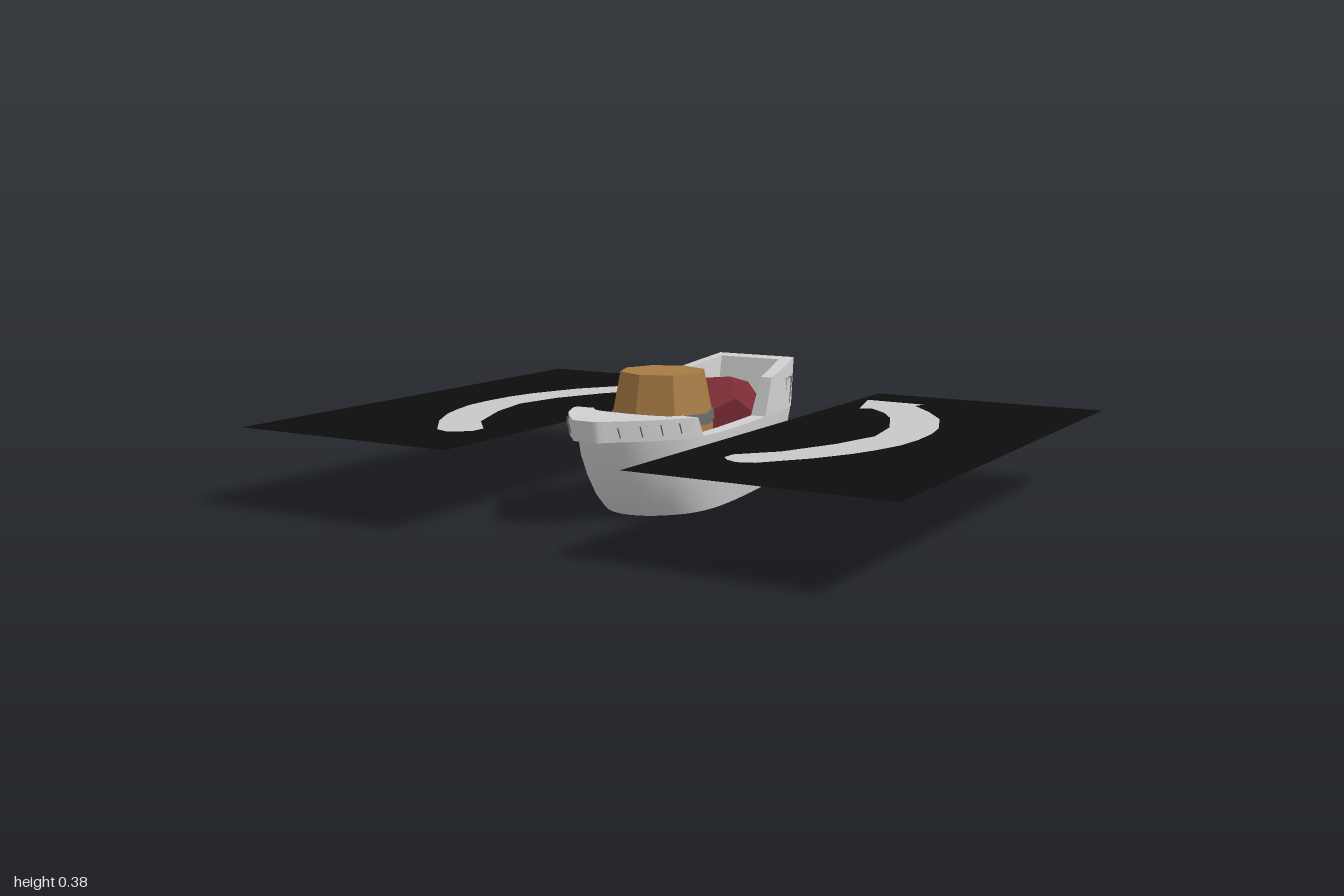
import * as THREE from 'three';
import { toCreasedNormals } from 'three/addons/utils/BufferGeometryUtils.js';

const V = (x, y, z) => new THREE.Vector3(x, y, z);
const { lerp } = THREE.MathUtils;

// Closed skin through equal-length rings of points, with fan caps at both ends
function loft(rings, crease = 0.6) {
  const n = rings[0].length;
  const pos = rings.flat().flatMap((p) => [p.x, p.y, p.z]);
  const idx = [];
  for (let j = 0; j < rings.length - 1; j++) {
    for (let i = 0; i < n; i++) {
      const a = j * n + i, b = j * n + (i + 1) % n;
      idx.push(a, a + n, b, b, a + n, b + n);
    }
  }
  [0, rings.length - 1].forEach((r, end) => {
    const o = pos.length / 3;
    const c = rings[r].reduce((s, p) => s.add(p), V(0, 0, 0)).divideScalar(n);
    pos.push(c.x, c.y, c.z);
    for (let i = 0; i < n; i++) {
      const a = r * n + i, b = r * n + (i + 1) % n;
      idx.push(o, end ? b : a, end ? a : b);
    }
  });
  const g = new THREE.BufferGeometry();
  g.setAttribute('position', new THREE.Float32BufferAttribute(pos, 3));
  g.setIndex(idx);
  return toCreasedNormals(g, crease);
}

// Smooth half outline of (z, half width), mirrored into a loop from stern to bow and back
function outline(pairs, steps = 20) {
  const half = new THREE.SplineCurve(pairs.map((p) => new THREE.Vector2(...p))).getPoints(steps);
  return [...half, ...half.slice(0, -1).reverse().map((p) => new THREE.Vector2(p.x, -p.y))];
}

function flat(geometry) {
  const g = geometry.index ? geometry.toNonIndexed() : geometry;
  g.computeVertexNormals();
  return g;
}

const lathe8 = (pts) => flat(new THREE.LatheGeometry(pts.map((p) => new THREE.Vector2(...p)), 8));

export function createModel() {
  const group = new THREE.Group();
  const mat = (name, color, extra = {}) => {
    const m = new THREE.MeshStandardMaterial({ color, ...extra });
    m.name = name;
    return m;
  };
  const grey = mat('light grey', 0xcfcfcf);
  const wood = mat('wood tan', 0xa67c42);
  const iron = mat('iron grey', 0x686868);
  const red = mat('dark red', 0x7c2b35);
  const black = mat('black', 0x0d0d0d, { side: THREE.DoubleSide });
  const arrowGrey = mat('arrow grey', 0xc8c8c8, { side: THREE.DoubleSide });
  const add = (name, geometry, material) => {
    const m = new THREE.Mesh(geometry, material);
    m.name = name;
    group.add(m);
    return m;
  };

  // Hull: flared outer rings, then the rim, then the hollow down to the floor
  const DECK = 0.225;
  const plan = outline([[0, 0.142], [0.2, 0.171], [0.45, 0.193], [0.68, 0.2], [0.84, 0.172], [0.94, 0.11], [0.985, 0.055], [1, 0]]);
  const stemCurve = [[0, 0.32], [0.04, 0.36], [0.1, 0.395], [0.16, 0.42], [DECK, 0.435]];
  const sternZ = (y) => -0.325 - 0.3 * y;
  const flare = (y) => 0.82 + 0.18 * Math.sin(Math.min(1, y / DECK) * Math.PI / 2);
  const levelRing = ([y, bow]) => plan.map((p) => V(p.y * flare(y), y, lerp(sternZ(y), bow, p.x)));
  const hold = outline([[-0.345, 0.085], [-0.32, 0.11], [-0.1, 0.138], [0.15, 0.157], [0.26, 0.142], [0.305, 0.1], [0.315, 0]]);
  const holdRing = (y, k) => hold.map((p) => V(p.y * k, y, p.x * k));
  add('hull', loft([...stemCurve.map(levelRing), holdRing(DECK, 1), holdRing(0.05, 0.87)]), grey);

  // Raised bow deck overhanging the stem
  const bowOuter = outline([[0.24, 0.198], [0.3, 0.187], [0.4, 0.135], [0.49, 0.062], [0.52, 0.035], [0.522, 0]]);
  const bowInner = outline([[0.24, 0.15], [0.27, 0.14], [0.3, 0.1], [0.31, 0]]);
  add('bowDeck', loft(bowOuter.map((o, i) => {
    const q = bowInner[i];
    const f = (o.x - 0.24) / 0.28;
    const lean = lerp(0.028, 0.004, Math.min(1, f * 4));
    return [V(q.y, DECK + 0.001, q.x), V(q.y, 0.281, q.x + lean * (1 - f)),
      V(o.y, 0.281 + 0.009 * f, o.x + lean), V(o.y, DECK + 0.008 * f, o.x)];
  })), grey);

  // Raised stern walls, running round the raked transom
  const sternHalf = [
    [V(0.18, DECK, -0.155), V(0.176, 0.335, -0.2), V(0.14, 0.335, -0.2), V(0.132, DECK, -0.155)],
    [V(0.166, DECK, -0.28), V(0.156, 0.352, -0.32), V(0.122, 0.352, -0.3), V(0.116, DECK, -0.28)],
    [V(0.144, DECK, -0.392), V(0.13, 0.37, -0.435), V(0.1, 0.366, -0.39), V(0.09, DECK, -0.345)],
  ];
  const mirrorX = (p) => V(-p.x, p.y, p.z);
  add('sternWalls', loft([...sternHalf, ...sternHalf.slice().reverse().map((r) => r.map(mirrorX))], 0.4), grey);

  // Plank seams: thin rods half sunk in the surface
  const seams = new THREE.Group();
  seams.name = 'plankSeams';
  group.add(seams);
  const seam = (a, b) => {
    const dir = b.clone().sub(a);
    const m = new THREE.Mesh(new THREE.CylinderGeometry(0.0022, 0.0022, dir.length(), 4), iron);
    m.name = 'seam';
    m.position.copy(a).lerp(b, 0.5);
    m.quaternion.setFromUnitVectors(V(0, 1, 0), dir.normalize());
    seams.add(m);
  };
  const both = (a, b) => { seam(a, b); seam(mirrorX(a), mirrorX(b)); };
  const widthAt = (ring, z) => {
    const i = ring.findIndex((p, k) => k > 0 && p.z >= z);
    const a = ring[i - 1], b = ring[i];
    return lerp(a.x, b.x, (z - a.z) / (b.z - a.z));
  };
  const onHull = (y, z) => V(widthAt(levelRing([y, y > 0.13 ? 0.418 : 0.4]), z), y, z);
  for (let i = 0; i < 6; i++) {
    const z = -0.3 + i * 0.085;
    both(onHull(0.15, z), onHull(0.15, z + 0.05));
    both(onHull(0.15, z), onHull(0.105, z + 0.008));
  }
  const onWall = (y, z) => {
    const t = (y - DECK) / 0.13;
    return V(lerp(lerp(0.18, 0.144, (-0.155 - z) / 0.237), lerp(0.182, 0.145, (-0.155 - z) / 0.237), t) - 0.002 * t, y, z);
  };
  for (let i = 0; i < 4; i++) {
    const z = -0.235 - i * 0.047;
    both(onWall(0.315, z - 0.022), onWall(0.235, z + 0.004));
    both(onWall(0.315, z - 0.022), onWall(0.315, z + 0.006));
  }
  for (let i = 0; i < 4; i++) {
    const p = bowOuter[5 + i * 2];
    both(V(p.y + 0.001, 0.243, p.x), V(p.y + 0.001, 0.272, p.x + 0.012));
  }
  // Stepped seams across the transom
  const onTransom = (x, y) => V(x, y, sternZ(y));
  for (const y of [0.32, 0.25]) {
    for (let i = 0; i < 8; i++) {
      const x = -0.12 + i * 0.03;
      const y0 = y + (i % 2) * 0.02;
      seam(onTransom(x, y0), onTransom(x + 0.03, y0));
      if (i < 7) seam(onTransom(x + 0.03, y), onTransom(x + 0.03, y + 0.02));
    }
  }

  // Eight-sided barrel with iron hoops
  const barrel = add('barrel', lathe8([[0, 0.052], [0.122, 0.052], [0.144, 0.16], [0.149, 0.215], [0.144, 0.27], [0.122, 0.382], [0, 0.382]]), wood);
  barrel.position.z = 0.13;
  for (const [y, r0, r1] of [[0.24, 0.153, 0.149], [0.16, 0.149, 0.153]]) {
    const hoop = add('barrelHoop', lathe8([[0.135, y], [r0, y], [r1, y + 0.03], [0.135, y + 0.03]]), iron);
    hoop.position.z = 0.13;
  }

  // Faceted cargo lump at the stern
  const cargo = new THREE.DodecahedronGeometry(1, 0);
  cargo.rotateY(0.35).rotateX(0.2).scale(0.134, 0.122, 0.162);
  add('cargoLump', flat(cargo), red).position.set(0, 0.217, -0.195);

  // Flat side panels with curved arrows set into them; points are (distance from centre, z)
  const arrow = [[0.299, -0.625], [0.35, -0.445], [0.388, -0.458], [0.452, -0.4], [0.505, -0.32], [0.573, -0.16],
    [0.599, 0], [0.562, 0.16], [0.487, 0.34], [0.4, 0.44], [0.4, 0.485], [0.425, 0.515], [0.46, 0.532], [0.505, 0.515],
    [0.6, 0.39], [0.66, 0.28], [0.69, 0.2], [0.717, 0.1], [0.724, 0], [0.719, -0.11], [0.7, -0.21], [0.64, -0.37],
    [0.56, -0.485], [0.478, -0.578], [0.49, -0.617]];
  const panel = [[0.27, -0.775], [1, -0.775], [1, 0.77], [0.27, 0.77]];
  for (const side of [1, -1]) {
    const pts = (list) => list.map(([x, z]) => new THREE.Vector2(side * x, z));
    const sheet = new THREE.Shape(pts(panel));
    sheet.holes.push(new THREE.Path(pts(arrow)));
    const lay = (shape) => new THREE.ShapeGeometry(shape).rotateX(Math.PI / 2).translate(0, DECK, 0);
    const label = side > 0 ? 'left' : 'right';
    add(label + 'Panel', lay(sheet), black);
    add(label + 'Arrow', lay(new THREE.Shape(pts(arrow))), arrowGrey);
  }
  return group;
}
